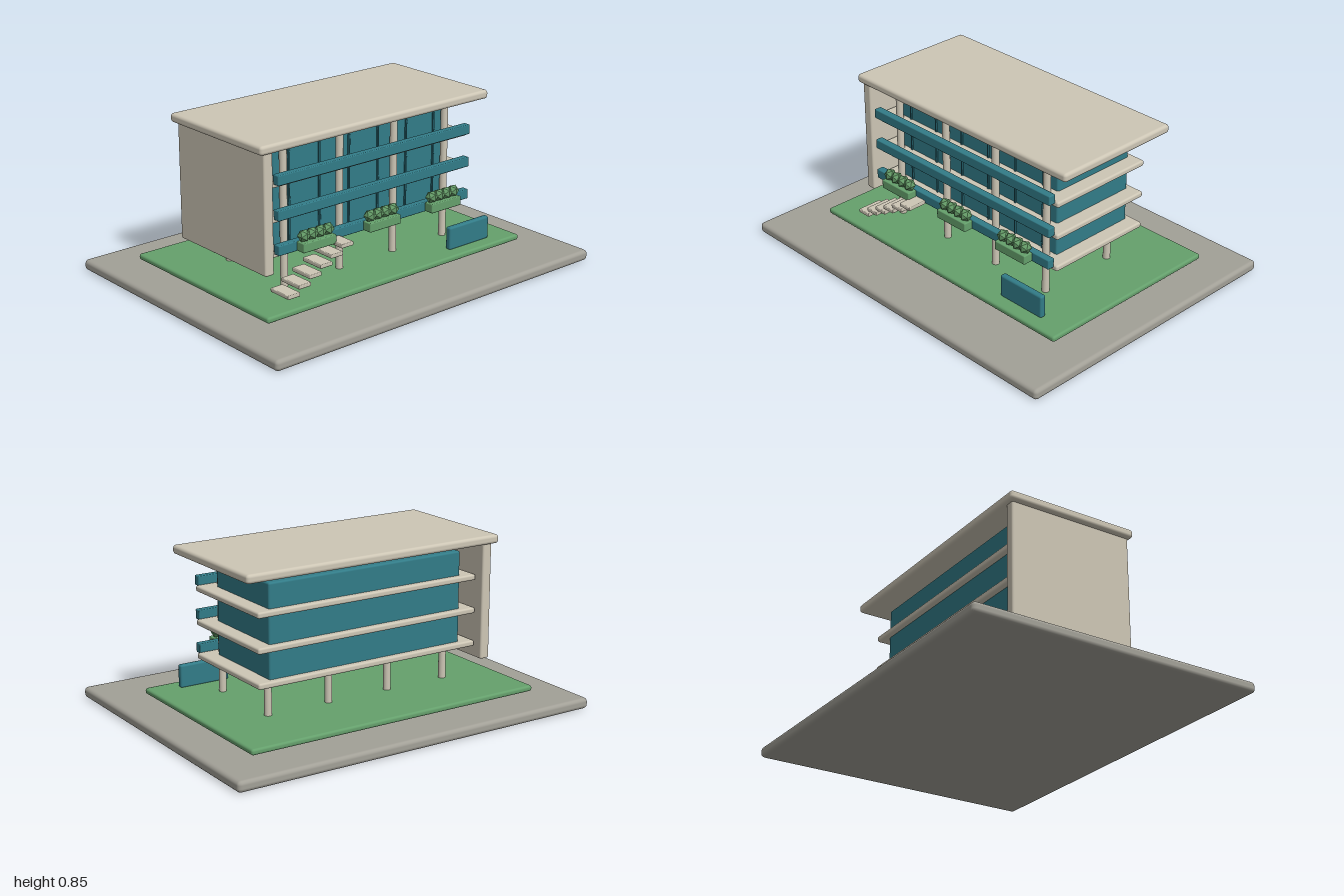
import * as THREE from 'three';
import { RoundedBoxGeometry } from 'three/addons/geometries/RoundedBoxGeometry.js';

const material = (name, color, flatShading = false) => {
  const m = new THREE.MeshStandardMaterial({ color, flatShading });
  m.name = name;
  return m;
};

export function createModel() {
  const stone = material('warm stone', 0xcdc6b5);
  const paving = material('grey paving', 0xa2a097);
  const grass = material('lawn green', 0x65a06c);
  const teal = material('teal glass', 0x327c88);
  const darkTeal = material('dark teal frame', 0x2b6f7b);
  const leaf = material('leaf green', 0x649b67, true);

  const model = new THREE.Group();
  model.name = 'officeBuilding';

  const add = (name, geometry, mat, x, y, z) => {
    const mesh = new THREE.Mesh(geometry, mat);
    mesh.name = name;
    mesh.position.set(x, y, z);
    model.add(mesh);
    return mesh;
  };
  // Softly bevelled box given by its limits on each axis
  const box = (name, mat, [x0, x1], [y0, y1], [z0, z1], r = 0.005) =>
    add(name, new RoundedBoxGeometry(x1 - x0, y1 - y0, z1 - z0, 2, r), mat,
      (x0 + x1) / 2, (y0 + y1) / 2, (z0 + z1) / 2);

  // Ground
  box('pavement', paving, [-1, 1], [0, 0.055], [-0.77, 0.77], 0.02);
  box('lawn', grass, [-0.81, 0.81], [0.068, 0.098], [-0.565, 0.467], 0.012);

  // Main volume, roof and end wall
  box('glassBody', teal, [-0.55, 0.55], [0.285, 0.765], [-0.295, 0.185], 0.01);
  box('roof', stone, [-0.717, 0.717], [0.8, 0.845], [-0.388, 0.314], 0.016);
  box('endWall', stone, [-0.69, -0.638], [0.21, 0.81], [-0.365, 0.3], 0.01);

  // Floor slabs with a balcony parapet in front of each
  for (let i = 0; i < 3; i++) {
    const y = 0.287 + i * 0.17;
    box('floorSlab', stone, [-0.628, 0.625], [y - 0.015, y + 0.015], [-0.325, 0.26], 0.01);
    box('balconyParapet', teal, [-0.61, 0.607], [y + 0.006, y + 0.056], [0.26, 0.299]);
  }

  // Two rows of round columns
  const column = new THREE.CylinderGeometry(0.0185, 0.0185, 0.71, 20);
  for (const z of [0.215, -0.21])
    for (const x of [-0.515, -0.175, 0.17, 0.51]) add('column', column, stone, x, 0.45, z);

  // Window mullions on the front
  for (let i = 0; i < 6; i++) {
    const x = -0.46 + i * 0.184;
    box('mullion', darkTeal, [x - 0.005, x + 0.005], [0.3, 0.75], [0.18, 0.193], 0.002);
  }

  // Floating entrance steps rising along the front
  for (let i = 0; i < 6; i++) {
    const x = -0.605 + i * 0.0645, y = 0.128 + i * 0.034;
    box('step', stone, [x - 0.036, x + 0.036], [y - 0.01, y + 0.01], [0.27, 0.402], 0.004);
  }

  // Planters with a row of faceted shrubs
  const shrub = new THREE.IcosahedronGeometry(0.032, 0);
  for (const x of [-0.408, 0, 0.405]) {
    box('planter', grass, [x - 0.099, x + 0.099], [0.297, 0.344], [0.3, 0.353]);
    for (let i = 0; i < 4; i++) add('shrub', shrub, leaf, x - 0.072 + i * 0.048, 0.37, 0.32);
  }

  // Plain sign panel on the lawn
  box('signPanel', teal, [0.39, 0.66], [0.095, 0.213], [0.365, 0.398], 0.01);

  return model;
}
